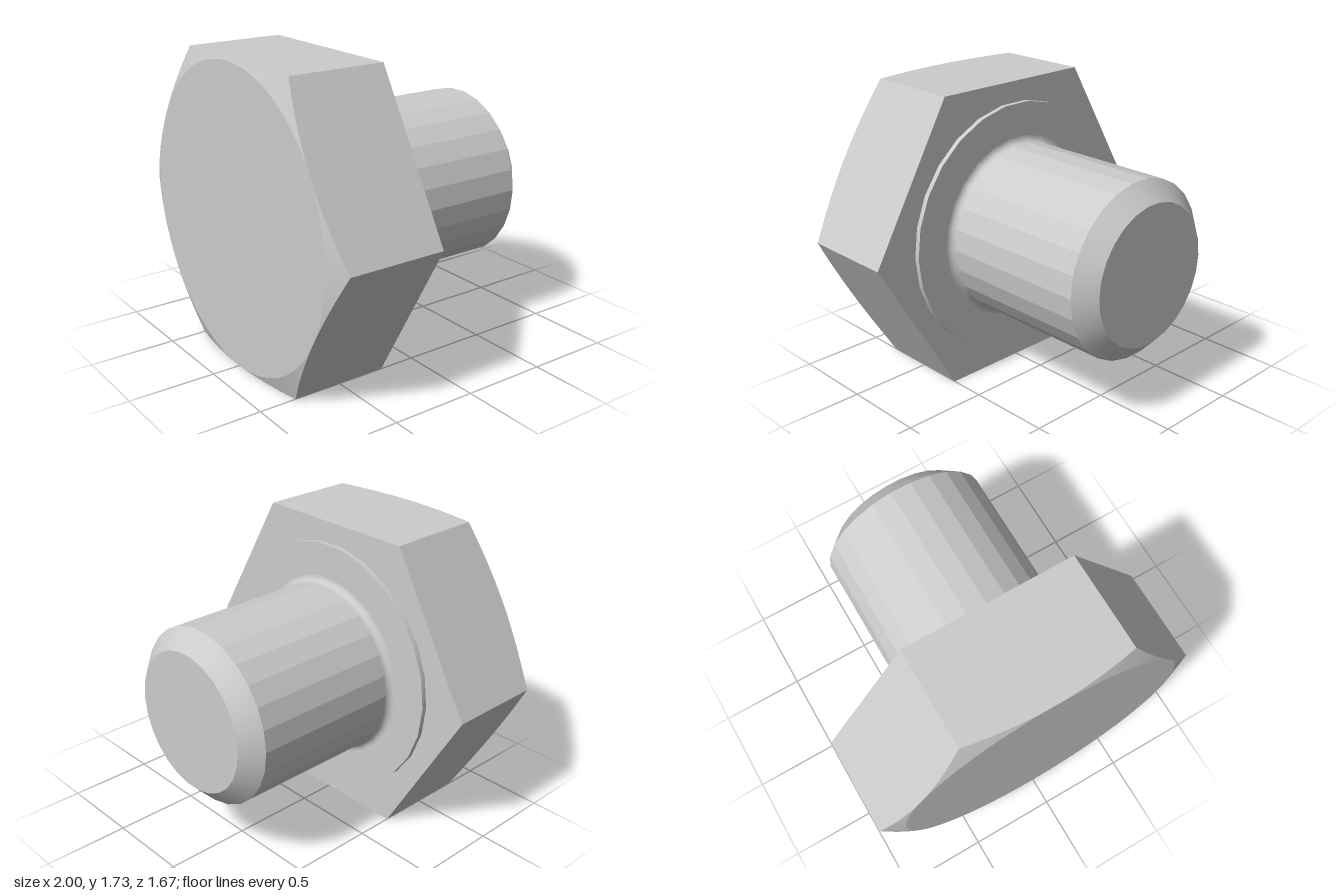
import * as THREE from 'three';
import { toCreasedNormals } from 'three/addons/utils/BufferGeometryUtils.js';

const SIDES = 26;               // facets around the round parts
const APOTHEM = Math.sqrt(3) / 2; // head centre to flat
const BACK = 0.215, FRONT = 0.835, CORNER = 0.785;

// Revolve [radius, z] points, listed from low z to high z, around the z axis
function turned(points, crease) {
  const profile = points.map(([r, z]) => new THREE.Vector2(r, z));
  const geometry = new THREE.LatheGeometry(profile, SIDES, Math.PI / 2).rotateX(Math.PI / 2);
  return toCreasedNormals(geometry, crease);
}

// Hexagonal prism whose front corners are cut by a shallow cone
function hexHead() {
  const steps = 12, count = 6 * steps, positions = [];
  const slope = (FRONT - CORNER) / (1 - APOTHEM);
  const ring = (i) => {
    const side = Math.floor(i / steps), t = (i % steps) / steps;
    const a = side * Math.PI / 3, b = a + Math.PI / 3;
    const x = THREE.MathUtils.lerp(Math.cos(a), Math.cos(b), t);
    const y = THREE.MathUtils.lerp(Math.sin(a), Math.sin(b), t);
    const r = Math.hypot(x, y), k = APOTHEM / r;
    return {
      back: [x, y, BACK],
      edge: [x, y, FRONT - (r - APOTHEM) * slope],
      face: [x * k, y * k, FRONT],
    };
  };
  const tri = (...corners) => corners.forEach((c) => positions.push(...c));
  for (let i = 0; i < count; i++) {
    const p = ring(i), q = ring((i + 1) % count);
    tri([0, 0, BACK], q.back, p.back);
    tri(p.back, q.back, q.edge);
    tri(p.back, q.edge, p.edge);
    tri(p.edge, q.edge, q.face);
    tri(p.edge, q.face, p.face);
    tri([0, 0, FRONT], p.face, q.face);
  }
  const geometry = new THREE.BufferGeometry();
  geometry.setAttribute('position', new THREE.Float32BufferAttribute(positions, 3));
  return toCreasedNormals(geometry, 0.2);
}

export function createModel() {
  const model = new THREE.Group();
  model.name = 'hexBolt';
  const material = new THREE.MeshStandardMaterial({ color: 0xcccccc });
  const add = (name, geometry) => {
    const mesh = new THREE.Mesh(geometry, material);
    mesh.name = name;
    mesh.position.y = APOTHEM;
    model.add(mesh);
  };

  add('head', hexHead());

  // Thin bearing disc under the head
  add('washerFace', turned([[0.547, 0.185], [0.747, 0.185], [0.747, BACK]], 0.6));

  // Rounded transition from shank to bearing disc
  const arc = [];
  for (let i = 0; i <= 5; i++) {
    const a = Math.PI - (i / 5) * Math.PI / 2;
    arc.push([0.547 + 0.037 * Math.cos(a), 0.15 + 0.035 * Math.sin(a)]);
  }
  add('fillet', turned(arc, 0.6));

  // Faceted shank, then its chamfered end
  add('shank', turned([[0.51, -0.735], [0.51, 0.15]], 0.1));
  add('chamferedTip', turned([[0, -0.835], [0.405, -0.835], [0.51, -0.735]], 0.6));

  return model;
}
